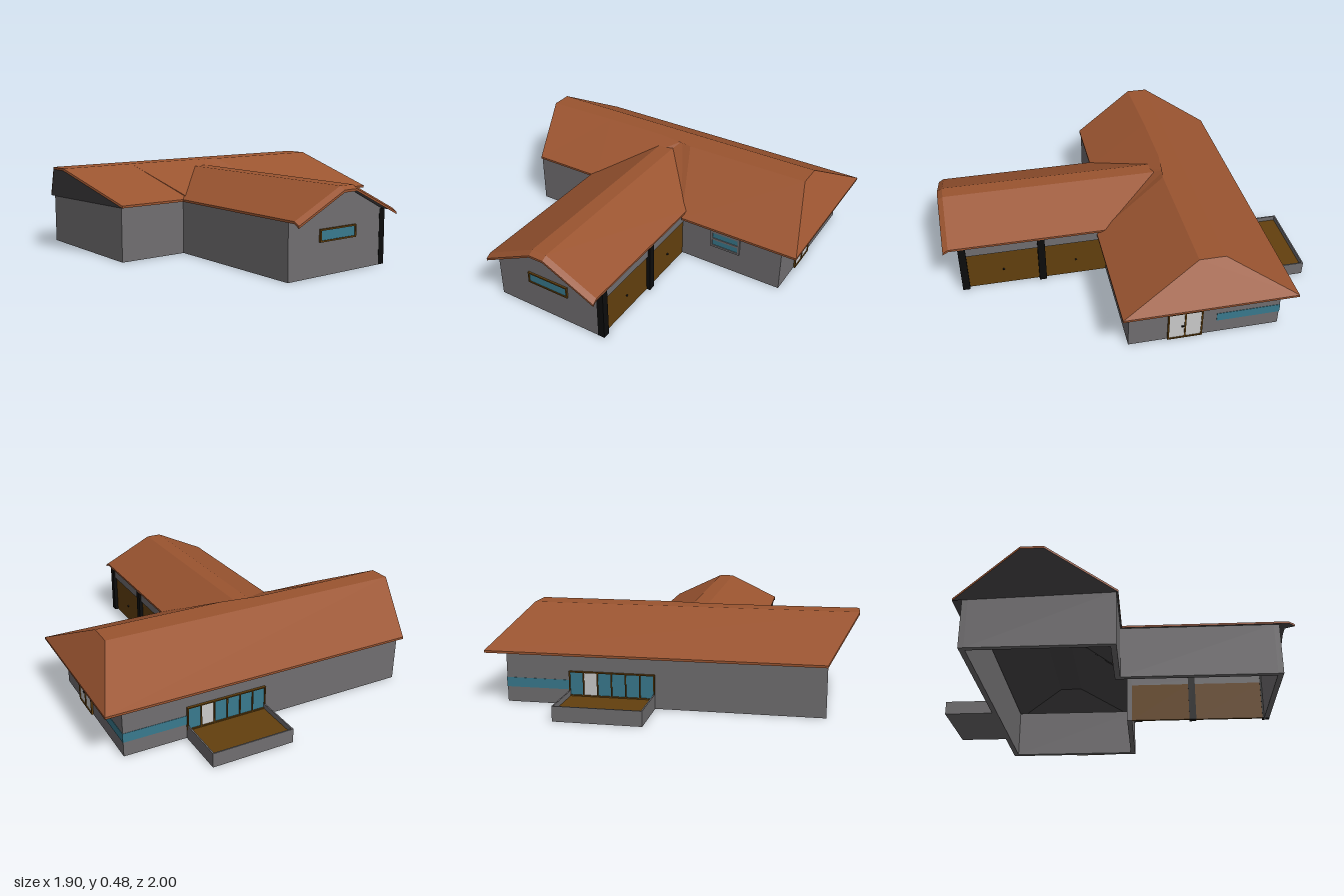
import * as THREE from 'three';

const mat = (color) => new THREE.MeshStandardMaterial({ color, flatShading: true, side: THREE.DoubleSide });
const wallMat = mat(0x706e70), tileMat = mat(0x9a5430), glassMat = mat(0x397a8e),
  woodMat = mat(0x63400e), postMat = mat(0x0c0c0c), whiteMat = mat(0xcccccc), soffitMat = mat(0x4a484a);

// Box given by its min and max corners
function box(parent, name, m, x0, x1, y0, y1, z0, z1) {
  const mesh = new THREE.Mesh(new THREE.BoxGeometry(x1 - x0, y1 - y0, z1 - z0), m);
  mesh.position.set((x0 + x1) / 2, (y0 + y1) / 2, (z0 + z1) / 2);
  mesh.name = name;
  parent.add(mesh);
  return mesh;
}

// Thin roof panel: tiled top and edges, grey soffit underneath
function panel(parent, name, pts, thick = 0.012) {
  const tiles = [], soffit = [];
  const low = (p) => [p[0], p[1] - thick, p[2]];
  for (let i = 1; i < pts.length - 1; i++) {
    tiles.push(...pts[0], ...pts[i], ...pts[i + 1]);
    soffit.push(...low(pts[0]), ...low(pts[i + 1]), ...low(pts[i]));
  }
  pts.forEach((a, i) => {
    const b = pts[(i + 1) % pts.length];
    tiles.push(...a, ...low(a), ...b, ...b, ...low(a), ...low(b));
  });
  [[tiles, tileMat, name], [soffit, soffitMat, name + 'Soffit']].forEach(([v, m, n]) => {
    const g = new THREE.BufferGeometry();
    g.setAttribute('position', new THREE.Float32BufferAttribute(v, 3));
    g.computeVertexNormals();
    const mesh = new THREE.Mesh(g, m);
    mesh.name = n;
    parent.add(mesh);
  });
}

// Framed opening facing +z: frame bars around columns x rows of panes
function framed(parent, name, { w, h, cols = 1, rows = 1, frame = woodMat, panes = [glassMat], bar = 0.008, depth = 0.01 }) {
  const g = new THREE.Group();
  g.name = name;
  for (let i = 0; i <= cols; i++) {
    const x = -w / 2 + (bar / 2) + (i * (w - bar)) / cols;
    box(g, 'frameUpright', frame, x - bar / 2, x + bar / 2, 0, h, 0, depth);
  }
  for (let j = 0; j <= rows; j++) {
    const y = bar / 2 + (j * (h - bar)) / rows;
    box(g, 'frameRail', frame, -w / 2, w / 2, y - bar / 2, y + bar / 2, 0, depth);
  }
  for (let i = 0; i < cols; i++) {
    const x = -w / 2 + (i * w) / cols;
    box(g, 'pane', panes[i % panes.length], x + 0.002, x + w / cols - 0.002, 0.002, h - 0.002, 0, depth * 0.5);
  }
  parent.add(g);
  return g;
}

export function createModel() {
  const house = new THREE.Group();
  house.name = 'house';

  // Hollow walls around the T-shaped plan, open to the garage side
  const walls = new THREE.Group();
  walls.name = 'walls';
  house.add(walls);
  const t = 0.03, H = 0.297;
  box(walls, 'backWall', wallMat, -0.8, 0.85, 0, H, -0.72, -0.72 + t);
  box(walls, 'leftEndWall', wallMat, 0.85 - t, 0.85, 0, H, -0.72 + t, 0.1);
  box(walls, 'rightEndWall', wallMat, -0.8, -0.8 + t, 0, H, -0.72 + t, 0.06);
  box(walls, 'frontWallLeft', wallMat, 0.26 - t, 0.85 - t, 0, H, 0.1 - t, 0.1);
  box(walls, 'frontWallRight', wallMat, -0.8 + t, -0.41 + t, 0, H, 0.06 - t, 0.06);
  box(walls, 'wingSideWall', wallMat, -0.41, -0.41 + t, 0, 0.29, 0.06, 0.89);
  box(walls, 'wingFrontWall', wallMat, -0.41, 0.26, 0, 0.29, 0.89, 0.92);
  box(walls, 'garageHeader', wallMat, 0.225, 0.25, 0.23, 0.29, 0.1, 0.89);

  // Wing gable
  const gable = new THREE.Shape([[-0.41, 0.29], [0.25, 0.29], [-0.035, 0.432], [-0.12, 0.432]].map((p) => new THREE.Vector2(...p)));
  const gableMesh = new THREE.Mesh(new THREE.ExtrudeGeometry(gable, { depth: t, bevelEnabled: false }), wallMat);
  gableMesh.position.z = 0.89;
  gableMesh.name = 'gableWall';
  walls.add(gableMesh);

  // Garage doors and posts
  [[0.1, 0.445], [0.485, 0.88]].forEach(([z0, z1]) => {
    box(house, 'garageDoor', woodMat, 0.225, 0.24, 0, 0.23, z0, z1);
    const knob = new THREE.Mesh(new THREE.SphereGeometry(0.006, 8, 6), postMat);
    knob.position.set(0.243, 0.1, (z0 + z1) / 2);
    knob.name = 'garageKnob';
    house.add(knob);
    box(house, 'garagePost', postMat, 0.222, 0.261, 0, 0.295, z1, z1 + 0.041);
  });

  // Main roof: flat ridge, sloped end on one side, forward-leaning end on the other
  const roof = new THREE.Group();
  roof.name = 'roof';
  house.add(roof);
  const R = 0.477;
  panel(roof, 'frontSlopeLeft', [[0.26, 0.28, 0.15], [0.95, 0.28, 0.15], [0.8, R, -0.27], [0.07, R, -0.27],
    [0, R, -0.3], [-0.035, 0.445, -0.245], [0.26, 0.302, 0.1]]);
  panel(roof, 'frontSlopeMiddle', [[-0.38, 0.312, 0.06], [-0.12, 0.445, -0.245], [-0.035, 0.445, -0.245],
    [0, R, -0.3], [-0.52, R, -0.3]]);
  panel(roof, 'frontSlopeRight', [[-0.8, 0.302, 0.07], [-0.4, 0.302, 0.07], [-0.38, 0.307, 0.06],
    [-0.52, R, -0.3], [-0.95, R, -0.29]]);
  panel(roof, 'ridgeTop', [[-0.95, R, -0.41], [-0.95, R, -0.29], [-0.52, R, -0.3], [0, R, -0.3],
    [0.07, R, -0.27], [0.8, R, -0.27], [0.8, R, -0.41]]);
  panel(roof, 'backSlope', [[-0.95, R, -0.41], [0.8, R, -0.41], [0.95, 0.28, -0.77], [-0.8, 0.28, -0.77]]);
  panel(roof, 'leftEndSlope', [[0.8, R, -0.27], [0.95, 0.28, 0.15], [0.95, 0.28, -0.77], [0.8, R, -0.41]]);
  panel(roof, 'rightEndSlope', [[-0.95, R, -0.41], [-0.8, 0.28, -0.77], [-0.8, 0.302, 0.07], [-0.95, R, -0.29]]);

  // Wing roof with a turned-down front lip: x, y, back z
  const profile = [[-0.418, 0.302, 0.06], [-0.12, 0.445, -0.245], [-0.035, 0.445, -0.245], [0.262, 0.302, 0.1]];
  for (let i = 0; i < 3; i++) {
    const [a, b] = [profile[i], profile[i + 1]];
    panel(roof, 'wingSlope', [[a[0], a[1], 0.97], [b[0], b[1], 0.97], b, a]);
    panel(roof, 'wingLip', [[a[0], a[1] - 0.018, 1], [b[0], b[1] - 0.018, 1], [b[0], b[1], 0.97], [a[0], a[1], 0.97]]);
  }

  // Front windows
  framed(house, 'wingWindow', { w: 0.25, h: 0.065 }).position.set(-0.083, 0.17, 0.92);
  framed(house, 'frontWindow', { w: 0.18, h: 0.105, rows: 2, frame: wallMat, bar: 0.012 }).position.set(0.515, 0.13, 0.1);

  // Double door on the left end
  const door = framed(house, 'sideDoor', { w: 0.188, h: 0.178, cols: 2, panes: [whiteMat] });
  door.rotation.y = Math.PI / 2;
  door.position.set(0.85, 0, -0.203);
  box(house, 'doorHandle', postMat, 0.855, 0.863, 0.08, 0.086, -0.197, -0.182);

  // Strip window wrapping the back corner
  box(house, 'stripWindowSide', glassMat, 0.84, 0.852, 0.08, 0.13, -0.722, -0.375);
  box(house, 'stripWindowBack', glassMat, 0.51, 0.852, 0.08, 0.13, -0.722, -0.71);

  // Terrace door and glazing
  const glazing = framed(house, 'terraceGlazing', { w: 0.45, h: 0.13, cols: 6, bar: 0.006, depth: 0.014,
    panes: [glassMat, glassMat, glassMat, glassMat, whiteMat, glassMat].reverse() });
  glazing.rotation.y = Math.PI;
  glazing.position.set(0.285, 0.05, -0.72);

  // Raised terrace with low parapet
  box(house, 'terraceFloor', woodMat, 0.065, 0.505, 0.03, 0.05, -0.995, -0.72);
  box(house, 'terraceBase', wallMat, 0.065, 0.505, 0, 0.03, -0.995, -0.72);
  box(house, 'parapetBack', wallMat, 0.06, 0.51, 0, 0.078, -1, -0.993);
  [0.06, 0.503].forEach((x) => box(house, 'parapetSide', wallMat, x, x + 0.007, 0, 0.078, -0.993, -0.72));

  return house;
}
